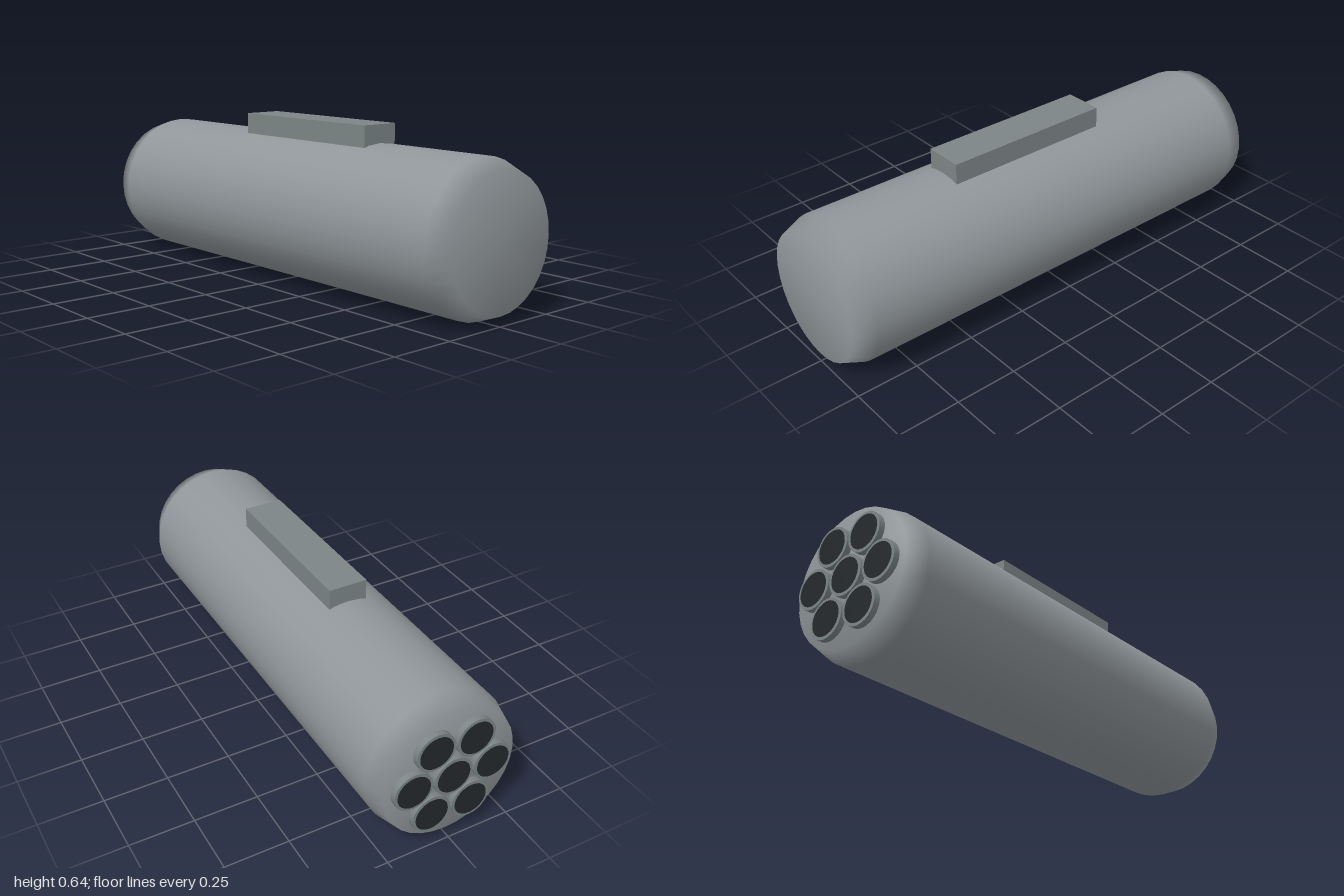
import * as THREE from 'three';

const RADIUS = 0.286;
const CENTER_Y = 0.287;

const material = (color, side = THREE.FrontSide) => new THREE.MeshStandardMaterial({ color, side });

function addMesh(parent, name, geometry, mat) {
  const mesh = new THREE.Mesh(geometry, mat);
  mesh.name = name;
  parent.add(mesh);
  return mesh;
}

// Revolve [radius, z] pairs, listed from back to front, about the z axis
function revolve(profile, segments) {
  const points = profile.map(([r, z]) => new THREE.Vector2(r, z));
  return new THREE.LatheGeometry(points, segments).rotateX(Math.PI / 2);
}

export function createModel() {
  const model = new THREE.Group();
  const shellMat = material(0x90969a);
  const railMat = material(0x7c8586);
  const boreMat = material(0x24292c);

  // Round casing with softly shaded, tapered ends
  const casing = revolve([
    [0, -0.975], [0.262, -0.975], [RADIUS, -0.885],
    [RADIUS, 0.91], [0.25, 1], [0, 1],
  ], 32);
  addMesh(model, 'casing', casing, shellMat).position.y = CENTER_Y;

  // Mounting rail on top
  const rail = new THREE.BoxGeometry(0.156, 0.093, 0.695);
  addMesh(model, 'mountingRail', rail, railMat).position.set(0, 0.5965, 0.067);

  // Tube mouths at the back: one in the middle, six around it
  const rimGeometry = new THREE.CylinderGeometry(0.077, 0.077, 0.029, 24).rotateX(Math.PI / 2);
  const boreGeometry = new THREE.CircleGeometry(0.066, 24).rotateY(Math.PI);
  const tubes = new THREE.Group();
  tubes.name = 'tubes';
  tubes.position.y = CENTER_Y;
  model.add(tubes);
  for (let i = 0; i < 7; i++) {
    const ring = i === 0 ? 0 : 0.16;
    const angle = (i * Math.PI) / 3;
    const tube = new THREE.Group();
    tube.name = 'tube';
    tube.position.set(ring * Math.cos(angle), ring * Math.sin(angle), 0);
    addMesh(tube, 'rim', rimGeometry, railMat).position.z = -0.984;
    addMesh(tube, 'bore', boreGeometry, boreMat).position.z = -1;
    tubes.add(tube);
  }

  return model;
}
